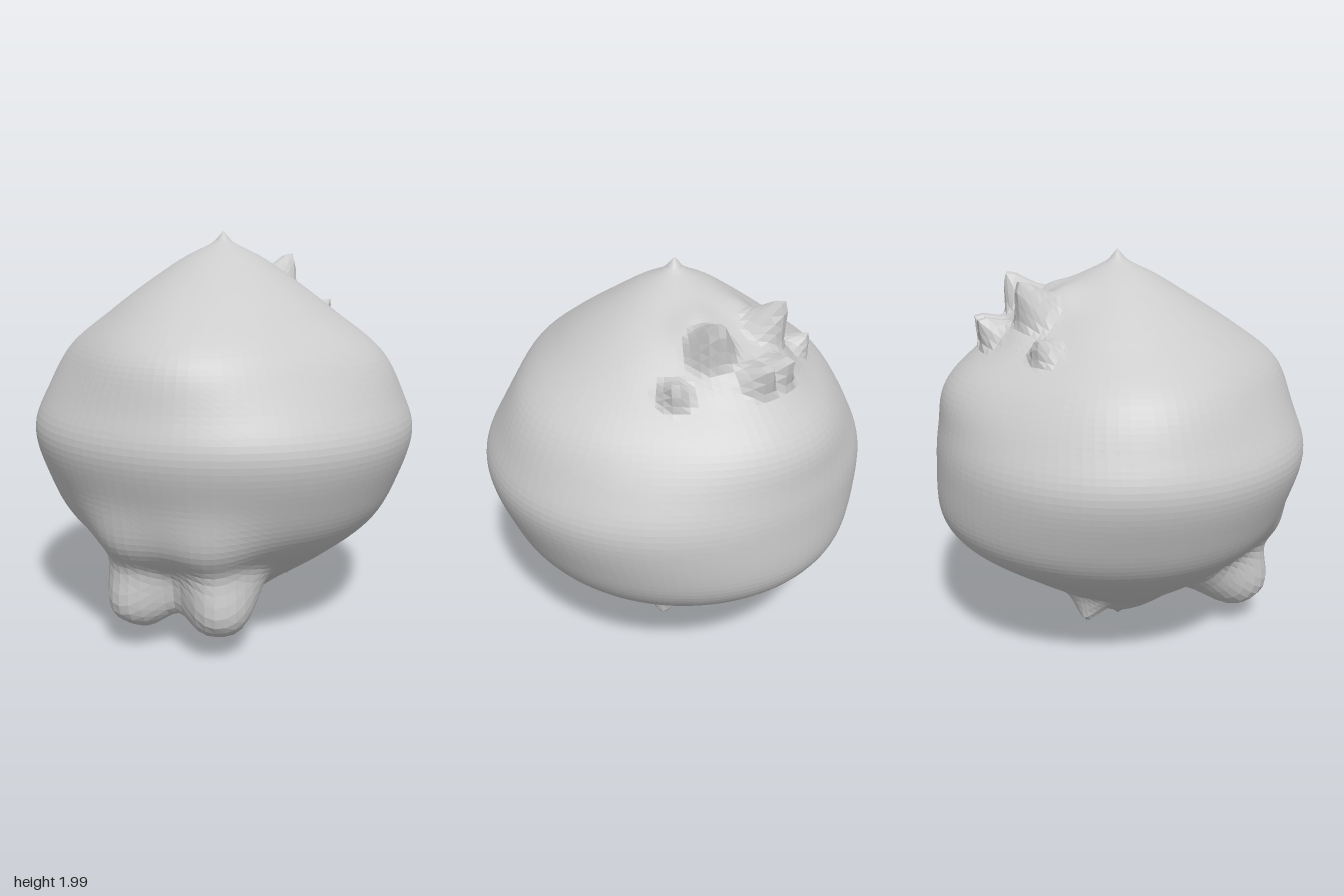
import * as THREE from 'three';

const bell = (v, centre, width) => Math.exp(-(((v - centre) / width) ** 2));
const deg = THREE.MathUtils.radToDeg;

// Swelling rules: direction seen from the body's middle (0, 1, 0), height as a
// share of the local radius, and angular reach in degrees.
const bump = (x, y, z, height, reach) => ({
  dir: new THREE.Vector3(x, y, z).normalize(), height, reach,
});
const both = (x, ...rest) => [bump(x, ...rest), bump(-x, ...rest)];
const feet = both(0.235, -0.86, 0.68, 0.345, 11.5);
const mounds = [
  ...both(0.21, -0.5, 0.78, 0.1, 13),     // legs above the feet
  bump(0, -0.84, 0.34, 0.07, 11),         // web behind the feet
  bump(0, 0.72, -0.64, 0.06, 16),         // raised skin under the crown
  ...both(0.15, 0.87, -0.36, 0.06, 8),    // ridges leading up to the tall spikes
  ...both(0.2, 0.78, -0.6, 0.045, 8),     // skin behind the tall spikes
];
const spikes = [
  ...both(0.21, 0.905, -0.54, 0.22, 8.5), // tall pair on the crown
  ...both(0.45, 0.67, -0.51, 0.12, 6.5),  // small outer pair
  ...both(0.07, 0.72, -0.73, 0.15, 7),    // twin points at the rear middle
  ...both(0.29, -0.84, -0.24, 0.12, 9),   // little nubs underneath
];

function swelling(dir) {
  let sum = 0;
  for (const f of feet) sum += f.height * Math.exp(-((deg(dir.angleTo(f.dir)) / f.reach) ** 3));
  for (const m of mounds) sum += m.height * bell(deg(dir.angleTo(m.dir)), 0, m.reach);
  let spike = 0;
  for (const s of spikes) {
    const t = Math.max(0, 1 - deg(dir.angleTo(s.dir)) / s.reach);
    spike = Math.max(spike, s.height * Math.min(1, 1.15 * t) ** 1.4);
  }
  return sum + spike;
}

export function createModel() {
  const group = new THREE.Group();
  group.name = 'bulbCreature';

  // Onion-shaped outline, pointed at both ends
  const outline = new THREE.SplineCurve([
    [0, 0.01], [0.05, 0.05], [0.2, 0.135], [0.36, 0.25], [0.58, 0.4], [0.8, 0.59],
    [0.91, 0.8], [0.972, 1.02], [0.925, 1.2], [0.81, 1.42], [0.57, 1.61], [0.38, 1.75],
    [0.2, 1.87], [0.06, 1.94], [0.018, 1.98], [0, 2],
  ].map(([x, y]) => new THREE.Vector2(x, y)));
  const rows = 92;
  const points = outline.getSpacedPoints(rows);
  points[0].x = points[rows].x = 0;
  const geometry = new THREE.LatheGeometry(points, 104);

  const pos = geometry.attributes.position;
  const p = new THREE.Vector3();
  const middle = new THREE.Vector3(0, 1, 0);
  for (let i = 0; i < pos.count; i++) {
    p.fromBufferAttribute(pos, i);
    // Shoulders drawn in slightly on the diagonals
    const diagonal = Math.sin(2 * Math.atan2(p.x, p.z)) ** 2;
    const pinch = 1 - 0.07 * diagonal * bell(p.y, 1.42, 0.22);
    p.x *= pinch;
    p.z *= pinch;
    // Fuller front and back
    p.z *= p.z > 0
      ? 0.98 + 0.1 * bell(p.y, 1.6, 0.25)
      : 0.925 + 0.145 * bell(p.y, 0.64, 0.28) + 0.09 * bell(p.y, 1.36, 0.22);
    // Feet, mounds and spikes pulled out of the surface
    p.sub(middle);
    const grow = 1 + swelling(p.clone().normalize());
    p.multiplyScalar(grow).add(middle);
    pos.setXYZ(i, p.x, p.y, p.z);
  }
  geometry.computeVertexNormals();

  const body = new THREE.Mesh(geometry, new THREE.MeshStandardMaterial({
    color: 0xcccccc, flatShading: true,
  }));
  body.name = 'bodyWithFeetAndSpikes';
  group.add(body);
  return group;
}
